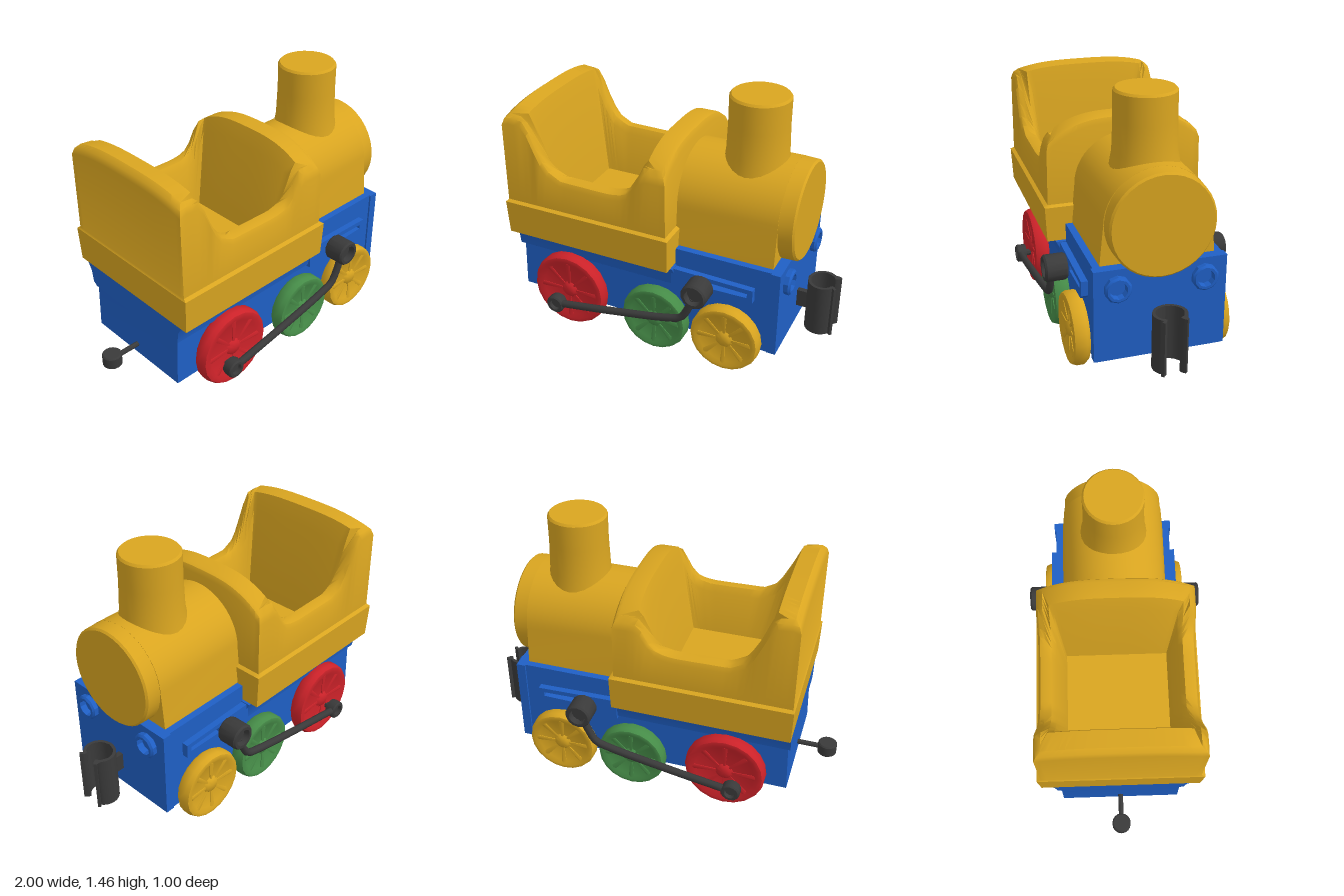
import * as THREE from 'three';
import { toCreasedNormals } from 'three/addons/utils/BufferGeometryUtils.js';

const V2 = (p) => p.map(([x, y]) => new THREE.Vector2(x, y));
const mat = (color) => new THREE.MeshStandardMaterial({ color, roughness: 0.7 });
const YELLOW = mat(0xd9a520), BLUE = mat(0x1f5fc4), RED = mat(0xcc2229), GREEN = mat(0x468c48), DARK = mat(0x3a3a3a);

function add(parent, name, geo, material, crease = 0.6) {
  const mesh = new THREE.Mesh(toCreasedNormals(geo, crease), material);
  mesh.name = name;
  parent.add(mesh);
  return mesh;
}

// Extrude an outline from z0 to z0 + depth
function slab(pts, z0, depth, hole) {
  const shape = new THREE.Shape(V2(pts));
  if (hole) shape.holes.push(new THREE.Path(V2(hole)));
  return new THREE.ExtrudeGeometry(shape, { depth, bevelEnabled: false }).translate(0, 0, z0);
}

// Extrude a (z, y) section along x
const alongX = (pts, x0, len) => slab(pts, 0, len).rotateY(Math.PI / 2).translate(x0, 0, 0);

// Turned part whose axis points to +z (s = 1) or -z (s = -1)
const turned = (pts, n, s = 1) => new THREE.LatheGeometry(V2(pts), n).rotateX(s * Math.PI / 2);

// Side outline of the cab's upper edge
const RIM = [[-0.8, 1.28], [-0.75, 1.3], [-0.66, 1.29], [-0.63, 1.22], [-0.58, 1.08], [-0.53, 0.99], [-0.45, 0.94],
  [-0.15, 0.935], [-0.07, 0.96], [-0.03, 1.02], [0, 1.12], [0.035, 1.215], [0.2, 1.215]];
function rimHeight(x, z) {
  let i = 1;
  while (i < RIM.length - 1 && x > RIM[i][0]) i++;
  const [a, b] = [RIM[i - 1], RIM[i]];
  const y = a[1] + (b[1] - a[1]) * (x - a[0]) / (b[0] - a[0]);
  const arch = (x > -0.3 ? 0.45 : 0.13) * Math.pow(Math.abs(z) / 0.42, 3);
  return 0.935 + (y - 0.935) * (1 - arch);
}

// Open cab: rectangular loops running up the outside, over the rim and down inside
function cabGeometry() {
  const N = 26, pos = [], idx = [];
  const loops = [
    [-0.3, -0.3, 0, () => 0.55],
    [-0.79, 0.185, 0.435, () => 0.55],
    [-0.795, 0.19, 0.445, () => 0.745],
    [-0.787, 0.17, 0.425, () => 0.755],
    [-0.787, 0.168, 0.422, (x, z) => rimHeight(x, z) - 0.035],
    [-0.775, 0.155, 0.41, (x, z) => rimHeight(x, z) - 0.008],
    [-0.75, 0.135, 0.385, rimHeight],
    [-0.66, 0.045, 0.35, rimHeight],
    [-0.63, 0.015, 0.325, (x, z) => rimHeight(x, z) - 0.04],
    [-0.55, -0.07, 0.28, () => 0.66],
    [-0.3, -0.3, 0, () => 0.66],
  ];
  const M = 4 * N;
  for (const [x0, x1, w, h] of loops) {
    const c = [[x0, w], [x1, w], [x1, -w], [x0, -w]];
    for (let j = 0; j < M; j++) {
      const k = Math.floor(j / N), t = (j % N) / N, a = c[k], b = c[(k + 1) % 4];
      const x = a[0] + (b[0] - a[0]) * t, z = a[1] + (b[1] - a[1]) * t;
      pos.push(x, h(x, z), z);
    }
  }
  for (let i = 0; i < loops.length - 1; i++) {
    for (let j = 0; j < M; j++) {
      const a = i * M + j, b = i * M + (j + 1) % M;
      idx.push(a, b, b + M, a, b + M, a + M);
    }
  }
  const g = new THREE.BufferGeometry();
  g.setAttribute('position', new THREE.Float32BufferAttribute(pos, 3));
  g.setIndex(idx);
  g.computeVertexNormals();
  return g;
}

// Dished wheel with a rounded rim, raised hub and tapered spokes
function wheel(name, x, y, r, s, material) {
  const g = new THREE.Group();
  g.name = name;
  g.position.set(x, y, s * 0.335);
  add(g, 'wheelDisc', turned([[0, 0], [r * 0.92, 0], [r, 0.02], [r, 0.06], [r * 0.95, 0.082], [r * 0.85, 0.086],
    [r * 0.74, 0.072], [0.05, 0.066], [0.035, 0.08], [0, 0.082]], 20, s), material, 0.8);
  for (let i = 0; i < 8; i++) {
    const a = i * Math.PI / 4;
    const spoke = add(g, 'spoke', new THREE.CylinderGeometry(0.018, 0.007, r * 0.62, 6).scale(1, 1, 0.7), material, 0.9);
    spoke.position.set(-Math.sin(a) * r * 0.47, Math.cos(a) * r * 0.47, s * 0.068);
    spoke.rotation.z = a;
  }
  return g;
}

export function createModel() {
  const model = new THREE.Group();
  model.name = 'toyLocomotive';

  // Chassis with the slot for the piston guides
  const slot = [[0.4, 0.475], [0.61, 0.48], [0.61, 0.505], [0.4, 0.51]];
  add(model, 'chassis', slab([[-0.78, 0.14], [0.77, 0.14], [0.77, 0.645], [0.19, 0.645], [0.19, 0.54], [-0.785, 0.54],
    [-0.77, 0.42]], -0.335, 0.67, slot), BLUE);
  add(model, 'runningBoard', alongX([[-0.33, 0.41], [0.33, 0.41], [0.355, 0.43], [0.365, 0.5], [0.39, 0.545],
    [-0.39, 0.545], [-0.365, 0.5], [-0.355, 0.43]], -0.785, 0.98), BLUE);
  add(model, 'frontPlate', new THREE.BoxGeometry(0.05, 0.5, 0.69).translate(0.75, 0.395, 0), BLUE);

  // Cab, boiler and chimney
  add(model, 'cab', cabGeometry(), YELLOW, 0.7);
  const section = [[-0.3, 0.6], [0.3, 0.6], [0.295, 0.68]];
  for (let i = 0; i <= 24; i++) {
    const a = Math.PI * i / 24;
    section.push([0.278 * Math.cos(a), 0.855 + 0.275 * Math.sin(a)]);
  }
  section.push([-0.295, 0.68]);
  add(model, 'boiler', alongX(section, 0.12, 0.6), YELLOW);
  add(model, 'boilerDoor', turned([[0, 0], [0.268, 0], [0.275, 0.01], [0.272, 0.085], [0.262, 0.095], [0, 0.095]], 36)
    .rotateY(Math.PI / 2), YELLOW).position.set(0.71, 0.855, 0);
  add(model, 'chimney', new THREE.LatheGeometry(V2([[0.18, 1.06], [0.166, 1.14], [0.16, 1.3], [0.16, 1.445],
    [0.15, 1.457], [0, 1.457]]), 28), YELLOW).position.x = 0.5;

  for (const s of [1, -1]) {
    const side = s > 0 ? 'left' : 'right';
    // Wheels
    model.add(wheel(side + 'RearWheel', -0.445, 0.23, 0.224, s, RED));
    model.add(wheel(side + 'MiddleWheel', 0.09, 0.2, 0.193, s, GREEN));
    model.add(wheel(side + 'FrontWheel', 0.505, 0.198, 0.196, s, YELLOW));

    // Piston guide
    add(model, side + 'PistonGuide', slab([[0.18, 0.415], [0.62, 0.43], [0.64, 0.45], [0.64, 0.53], [0.18, 0.54]],
      s > 0 ? 0.33 : -0.37, 0.04, slot), BLUE);

    // Head lamp: hollow cup on the front plate
    add(model, side + 'Lamp', turned([[0.068, 0], [0.07, 0.035], [0.06, 0.045], [0.046, 0.045], [0.042, 0.01], [0, 0.01]], 10)
      .rotateY(Math.PI / 2), BLUE).position.set(0.765, 0.545, s * 0.225);

    // Connecting rod with a hollow boss at each end
    const path = new THREE.CatmullRomCurve3([[-0.46, 0.168, 0.468], [-0.15, 0.215, 0.462], [0.2, 0.278, 0.455],
      [0.275, 0.305, 0.455], [0.315, 0.37, 0.455], [0.345, 0.45, 0.455]].map(([x, y, z]) => new THREE.Vector3(x, y, s * z)));
    add(model, side + 'ConnectingRod', new THREE.TubeGeometry(path, 30, 0.021, 8), DARK, 1);
    add(model, side + 'CrankBoss', turned([[0, 0], [0.05, 0], [0.053, 0.01], [0.053, 0.05], [0.046, 0.057], [0.032, 0.057],
      [0.03, 0.035], [0, 0.035]], 14, s), DARK).position.set(-0.5, 0.158, s * 0.433);
    add(model, side + 'CrankPin', new THREE.CylinderGeometry(0.02, 0.02, 0.06, 8).rotateX(Math.PI / 2), DARK)
      .position.set(-0.5, 0.158, s * 0.41);
    add(model, side + 'CrossheadBoss', turned([[0, 0], [0.065, 0], [0.072, 0.01], [0.072, 0.11], [0.064, 0.12], [0.048, 0.12],
      [0.044, 0.085], [0, 0.085]], 14, s), DARK).position.set(0.36, 0.485, s * 0.38);

    // One jaw of the front coupling
    const jaw = new THREE.CatmullRomCurve3([[0.835, 0], [0.85, 0.045], [0.885, 0.075], [0.93, 0.078], [0.965, 0.055],
      [0.97, 0.042], [0.993, 0.062]].map(([x, z]) => new THREE.Vector3(x, z, 0)));
    const outer = [], inner = [];
    for (let i = 0; i <= 18; i++) {
      const p = jaw.getPoint(i / 18), t = jaw.getTangent(i / 18);
      outer.push([p.x - t.y * 0.008, s * (p.y + t.x * 0.008)]);
      inner.unshift([p.x + t.y * 0.008, s * (p.y - t.x * 0.008)]);
    }
    add(model, side + 'CouplingJaw', slab([...outer, ...inner], 0.148, 0.3).rotateX(-Math.PI / 2), DARK);
  }

  // Coupling stem at the front, hitch pin at the back
  add(model, 'couplingStem', new THREE.BoxGeometry(0.08, 0.1, 0.03).translate(0.805, 0.3, 0), DARK);
  add(model, 'hitchRod', new THREE.CylinderGeometry(0.014, 0.014, 0.18, 8).rotateZ(Math.PI / 2).translate(-0.85, 0.198, 0), DARK);
  add(model, 'hitchPin', new THREE.LatheGeometry(V2([[0, 0.163], [0.046, 0.163], [0.053, 0.17], [0.053, 0.228],
    [0.046, 0.235], [0, 0.235]]), 16), DARK).position.x = -0.947;

  return model;
}
